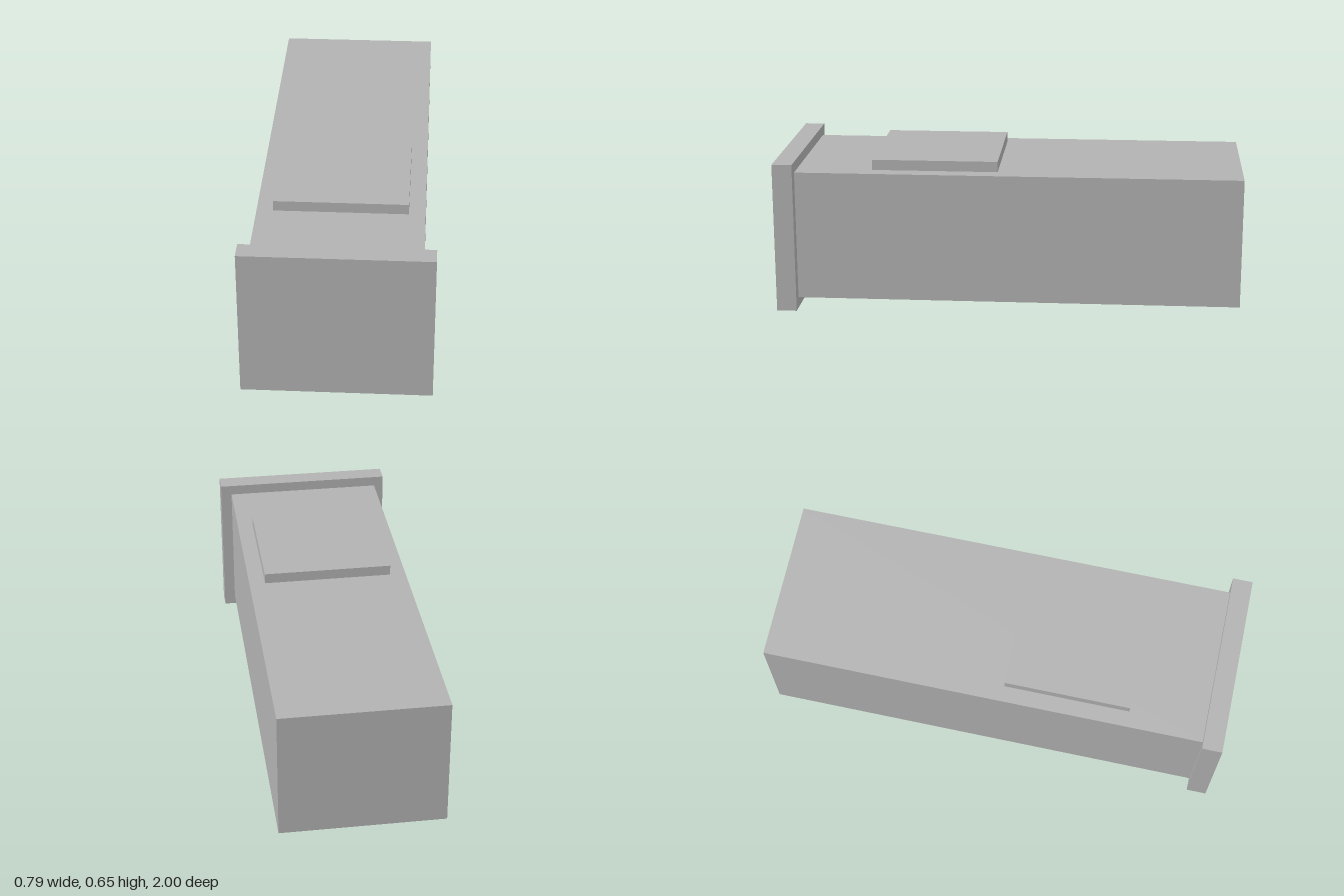
import * as THREE from 'three';

export function createModel() {
  const model = new THREE.Group();
  const grey = new THREE.MeshStandardMaterial({ color: 0xb2b2b2 });
  grey.name = 'plain grey';

  // Adds a box spanning the given [min, max] ranges
  const addBox = (name, [x0, x1], [y0, y1], [z0, z1]) => {
    const mesh = new THREE.Mesh(new THREE.BoxGeometry(x1 - x0, y1 - y0, z1 - z0), grey);
    mesh.name = name;
    mesh.position.set((x0 + x1) / 2, (y0 + y1) / 2, (z0 + z1) / 2);
    model.add(mesh);
  };

  // Long main block
  addBox('body', [-0.351, 0.344], [0.046, 0.608], [-1, 0.914]);
  // Wider plate closing the front
  addBox('frontPanel', [-0.393, 0.393], [0, 0.653], [0.914, 1]);
  // Raised square pad on top
  addBox('topPad', [-0.282, 0.275], [0.608, 0.653], [0.046, 0.587]);

  return model;
}
